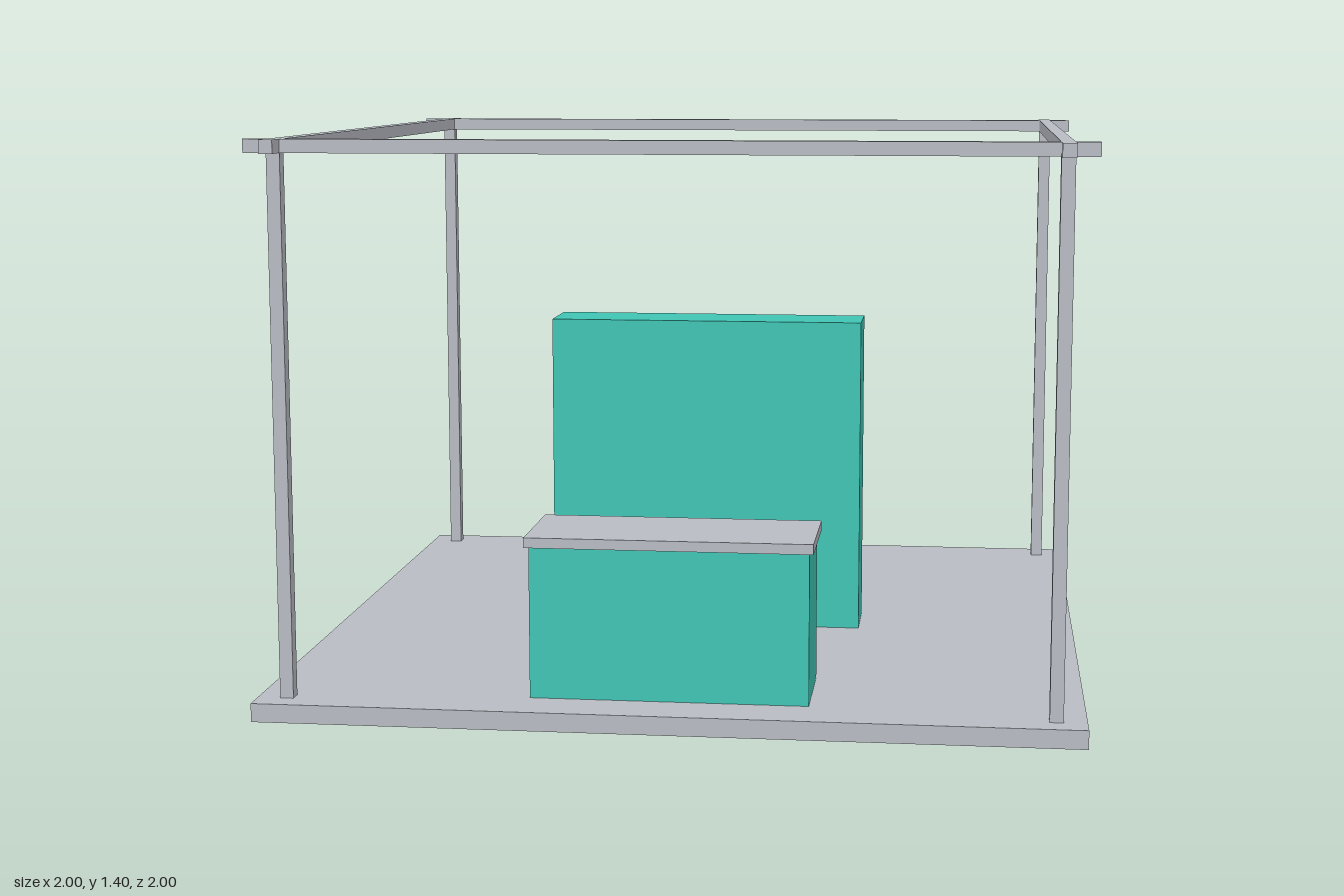
import * as THREE from 'three';

export function createModel() {
  const group = new THREE.Group();
  const grey = new THREE.MeshStandardMaterial({ color: 0xb8bcc3 });
  grey.name = 'light grey';
  const teal = new THREE.MeshStandardMaterial({ color: 0x40c4b4 });
  teal.name = 'teal';

  // Box given by its centre in plan, its bottom and top, and its footprint
  function box(name, material, x, z, bottom, top, width, depth) {
    const mesh = new THREE.Mesh(new THREE.BoxGeometry(width, top - bottom, depth), material);
    mesh.name = name;
    mesh.position.set(x, (bottom + top) / 2, z);
    group.add(mesh);
  }

  const floorTop = 0.046;
  const frameTop = 1.4;
  const bar = 0.033;
  const inset = 0.927;

  // Platform
  box('floor', grey, 0, 0, 0, floorTop, 2, 2);

  // Frame: four posts and four crossing roof beams
  for (const side of [-1, 1]) {
    for (const end of [-1, 1]) {
      box('post', grey, side * inset, end * inset, floorTop, frameTop - bar, bar, bar);
    }
    box('crossBeam', grey, 0, side * inset, frameTop - bar, frameTop, 2, bar);
    box('sideBeam', grey, side * inset, 0, frameTop - bar, frameTop, bar, 2);
  }

  // Central display wall
  box('displayWall', teal, 0, 0, floorTop, 0.885, 0.84, 0.18);

  // Reception counter with overhanging top
  box('counterBody', teal, 0, 0.74, floorTop, 0.42, 0.68, 0.265);
  box('counterTop', grey, 0, 0.74, 0.42, 0.445, 0.7, 0.288);

  return group;
}
